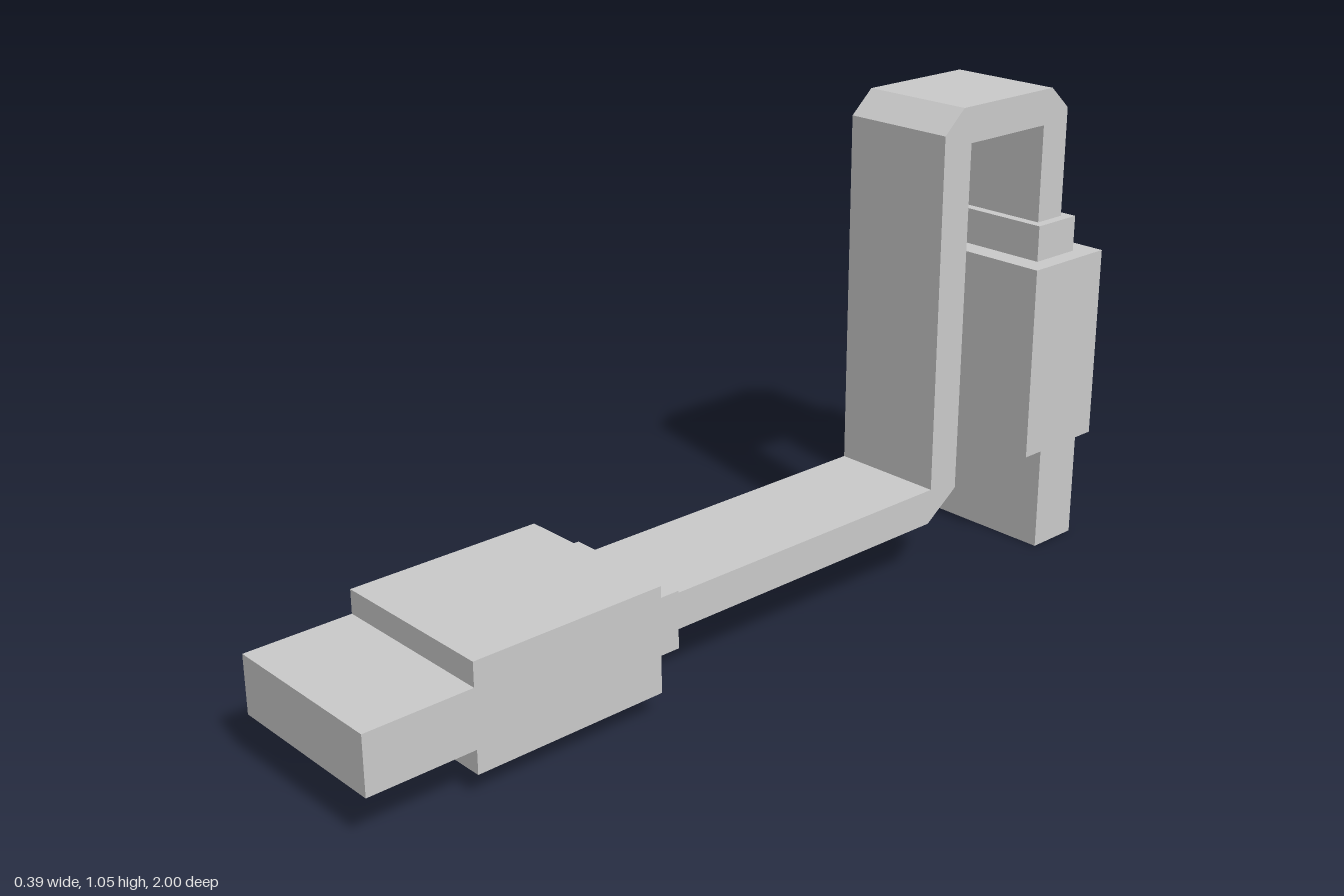
import * as THREE from 'three';

const material = new THREE.MeshStandardMaterial({ color: 0xcccccc, flatShading: true, side: THREE.DoubleSide });

// Box spanning z0..z1, centred on the connector axis
function block(name, width, height, z0, z1) {
  const geometry = new THREE.BoxGeometry(width, height, z1 - z0);
  geometry.translate(0, 0, (z0 + z1) / 2);
  const mesh = new THREE.Mesh(geometry, material);
  mesh.name = name;
  return mesh;
}

// Connector pointing along +z with its tip end at the origin
function connector(name, openEnd) {
  const group = new THREE.Group();
  group.name = name;
  const tip = block('plugTip', 0.39, 0.126, -0.236, 0);
  if (openEnd) {
    // drop the +z end face to leave a hollow socket
    const index = Array.from(tip.geometry.index.array);
    index.splice(24, 6);
    tip.geometry.setIndex(index);
    tip.geometry.clearGroups();
  }
  group.add(
    tip,
    block('plugBody', 0.39, 0.23, -0.676, -0.236),
    block('collar', 0.308, 0.126, -0.757, -0.676)
  );
  return group;
}

export function createModel() {
  const model = new THREE.Group();
  model.name = 'bentCable';

  // Flat cable: side outline as (z, y), extruded across x
  const outline = [
    [0.245, 0.13], [-0.515, 0.13], [-0.602, 0.192], [-0.605, 0.975],
    [-0.845, 0.975], [-0.845, 0.757], [-0.925, 0.757], [-0.925, 1.003],
    [-0.868, 1.054], [-0.578, 1.054], [-0.521, 1.003], [-0.521, 0.21], [0.245, 0.21]
  ].map(([z, y]) => new THREE.Vector2(z, y));
  const cableGeometry = new THREE.ExtrudeGeometry(new THREE.Shape(outline), { depth: 0.264, bevelEnabled: false });
  cableGeometry.translate(0, 0, -0.132);
  cableGeometry.rotateY(-Math.PI / 2);
  const cable = new THREE.Mesh(cableGeometry, material);
  cable.name = 'cable';
  model.add(cable);

  // Front connector lies flat, rear connector hangs down
  const front = connector('frontConnector', false);
  front.position.set(0, 0.166, 1);
  const rear = connector('rearConnector', true);
  rear.rotation.x = Math.PI / 2;
  rear.position.set(0, 0, -0.885);
  model.add(front, rear);

  return model;
}
